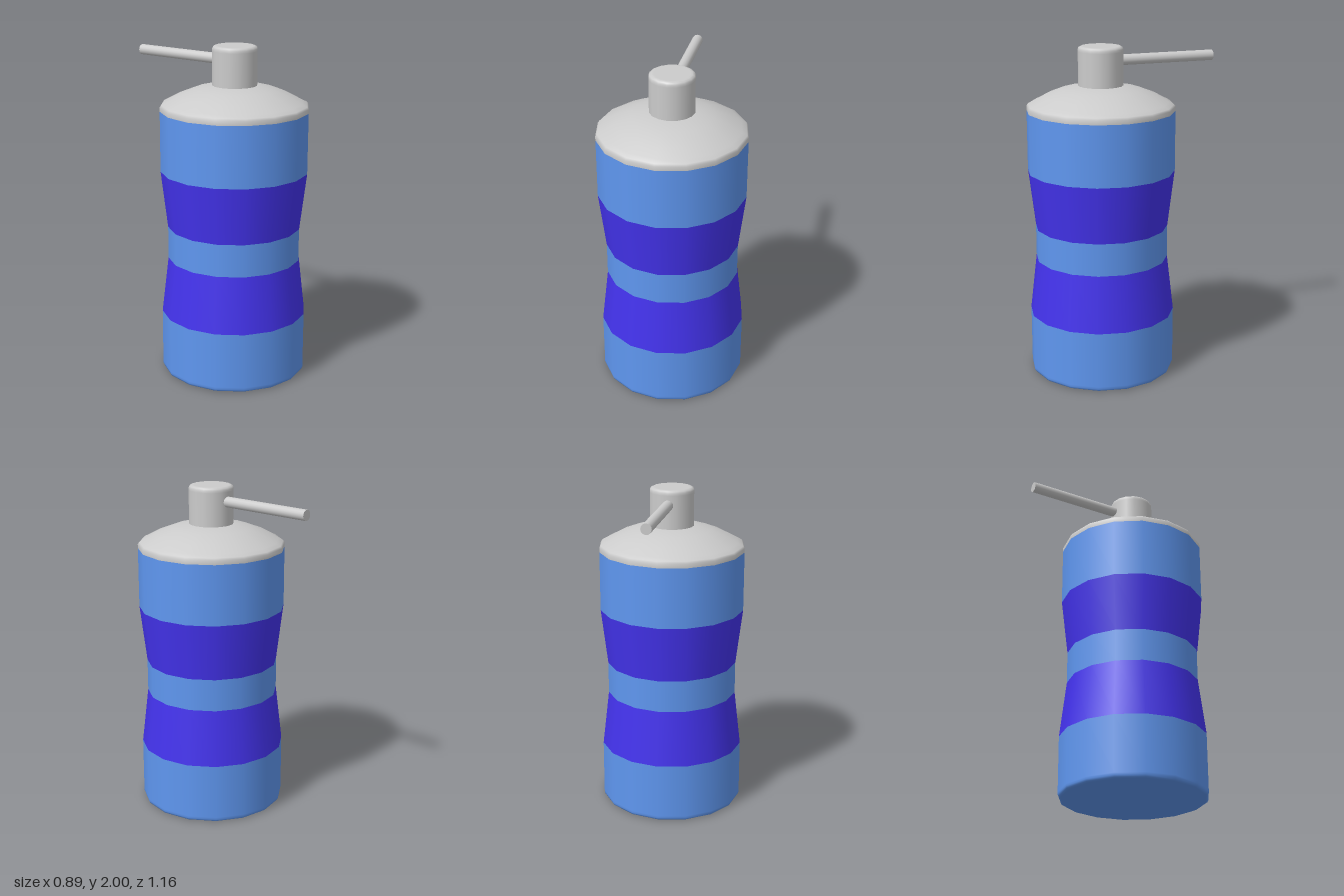
import * as THREE from 'three';

const SIDES = 16;
const WIDE = 0.443;
const WAIST = 0.402;
const AXIS_Z = 0.135;

const grey = new THREE.MeshStandardMaterial({ color: 0xcccccc });
const lightBlue = new THREE.MeshStandardMaterial({ color: 0x5f97f0 });
const violet = new THREE.MeshStandardMaterial({ color: 0x4433ee });

// Turned part from [radius, height] pairs, listed from bottom to top
function turned(name, material, profile) {
  const points = profile.map(([r, y]) => new THREE.Vector2(r, y));
  const mesh = new THREE.Mesh(new THREE.LatheGeometry(points, SIDES), material);
  mesh.name = name;
  return mesh;
}

export function createModel() {
  const model = new THREE.Group();
  model.name = 'pumpBottle';

  const bottle = new THREE.Group();
  bottle.name = 'bottle';
  bottle.position.z = AXIS_Z;
  model.add(bottle);

  // Body: closed base, then coloured bands narrowing to the waist
  bottle.add(
    turned('base', lightBlue, [[0, 0], [0.415, 0], [0.428, 0], [0.438, 0.005], [WIDE, 0.017], [WIDE, 0.03], [WIDE, 0.37]]),
    turned('lowerBand', violet, [[WIDE, 0.37], [WAIST, 0.715]]),
    turned('waist', lightBlue, [[WAIST, 0.715], [WAIST, 0.912]]),
    turned('upperBand', violet, [[WAIST, 0.912], [WIDE, 1.257]]),
    turned('upperBody', lightBlue, [[WIDE, 1.257], [WIDE, 1.62]])
  );

  // Domed shoulder
  bottle.add(turned('shoulder', grey, [
    [WIDE, 1.62], [WIDE, 1.645], [0.434, 1.658], [0.405, 1.672],
    [0.335, 1.71], [0.24, 1.747], [0.13, 1.77], [0, 1.775],
  ]));

  // Pump head with a bevelled rim
  bottle.add(turned('pumpHead', grey, [
    [0.134, 1.765], [0.134, 1.97], [0.134, 1.983], [0.129, 1.994],
    [0.117, 2], [0.105, 2], [0, 2],
  ]));

  // Spout reaching out over the back
  const length = 0.66;
  const spout = new THREE.Mesh(new THREE.CylinderGeometry(0.032, 0.032, length, SIDES), grey);
  spout.name = 'spout';
  spout.rotation.x = Math.PI / 2;
  spout.position.set(0, 1.912, -0.58 + length / 2);
  model.add(spout);

  return model;
}
